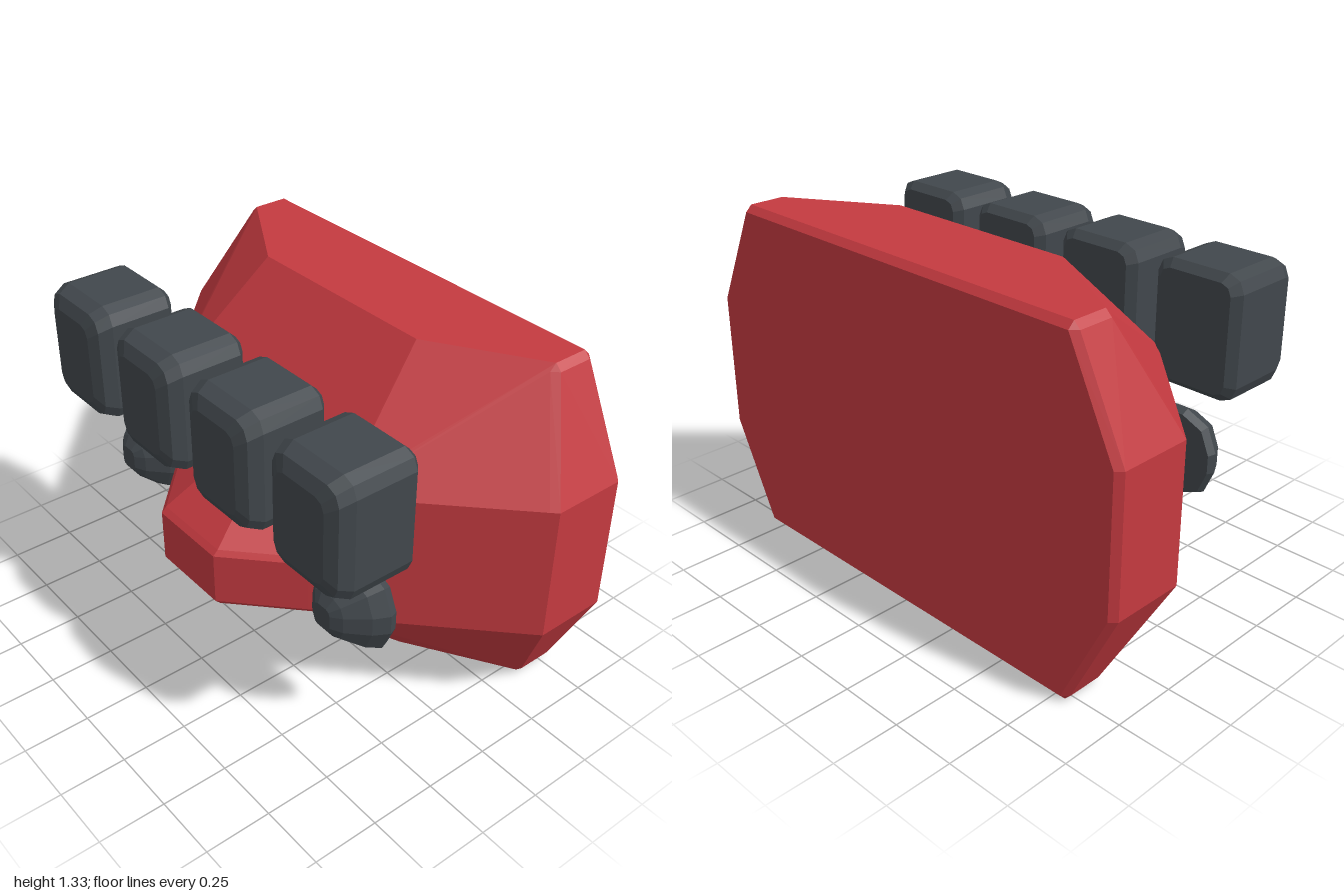
import * as THREE from 'three';
import { ConvexGeometry } from 'three/addons/geometries/ConvexGeometry.js';

const V = (x, y, z) => new THREE.Vector3(x, y, z);

// Mirror [x, y, z] corners across x = 0 and across y = cy
function mirrored(corners, cy) {
  const out = [];
  for (const [x, y, z] of corners)
    for (const sx of [1, -1]) for (const sy of [1, -1]) out.push(V(sx * x, cy + sy * (y - cy), z));
  return out;
}

// Convex solid whose edges are chamfered by a small octahedron of radius r
function chamferedHull(points, r) {
  const out = [];
  for (const p of points)
    for (const s of [r, -r])
      out.push(V(p.x + s, p.y, p.z), V(p.x, p.y + s, p.z), V(p.x, p.y, p.z + s));
  return new ConvexGeometry(out);
}

// Convex solid from layers [z, halfWidth, halfHeight, cornerX, cornerY] with bevelled corners
function layeredHull(layers) {
  const out = [];
  for (const [z, w, h, cx, cy = cx] of layers)
    for (const sx of [1, -1]) for (const sy of [1, -1])
      out.push(
        V(sx * w, sy * (h - cy), z),
        V(sx * (w - cx * 0.3), sy * (h - cy * 0.3), z),
        V(sx * (w - cx), sy * h, z));
  return new ConvexGeometry(out);
}

export function createModel() {
  const group = new THREE.Group();
  const red = new THREE.MeshStandardMaterial({ color: 0xc43a40 });
  red.name = 'red';
  const charcoal = new THREE.MeshStandardMaterial({ color: 0x41474c });
  charcoal.name = 'charcoal';

  const add = (name, geometry, material, x = 0, y = 0) => {
    const mesh = new THREE.Mesh(geometry, material);
    mesh.name = name;
    mesh.position.set(x, y, 0);
    group.add(mesh);
  };

  // Faceted body: flat octagonal back, sloping to a smaller front face
  const r = 0.024;
  add('body', chamferedHull(mirrored([
    [0.79, 1.306, -0.526], [0.976, 0.925, -0.526],
    [0.79, 1.306, -0.39], [0.976, 0.925, -0.245],
    [0.4, 1.306, -0.15],
    [0.49, 0.925, 0.228],
  ], 0.665), r), red);

  // Protruding faceted muzzle
  add('muzzle', chamferedHull(mirrored([
    [0.09, 0.77, 0.24], [0.4, 0.61, 0.24],
    [0.09, 0.77, 0.31], [0.4, 0.61, 0.28],
    [0.16, 0.61, 0.508],
  ], 0.51), 0.02), red);

  // Row of four upper blocks
  const block = layeredHull([
    [0.21, 0.145, 0.2, 0.04],
    [0.24, 0.176, 0.228, 0.06],
    [0.475, 0.176, 0.228, 0.06],
    [0.525, 0.157, 0.205, 0.055],
    [0.548, 0.115, 0.16, 0.04],
  ]);
  [-0.66, -0.22, 0.22, 0.66].forEach((x, i) => add('upperBlock' + (i + 1), block, charcoal, x, 1.042));

  // Rounded studs either side of the muzzle
  const stud = layeredHull([
    [0.22, 0.165, 0.155, 0.12],
    [0.25, 0.175, 0.167, 0.13],
    [0.305, 0.145, 0.14, 0.105],
    [0.375, 0.08, 0.08, 0.05],
    [0.4, 0.04, 0.045, 0.02],
  ]);
  add('leftStud', stud, charcoal, 0.593, 0.565);
  add('rightStud', stud, charcoal, -0.593, 0.565);

  return group;
}
